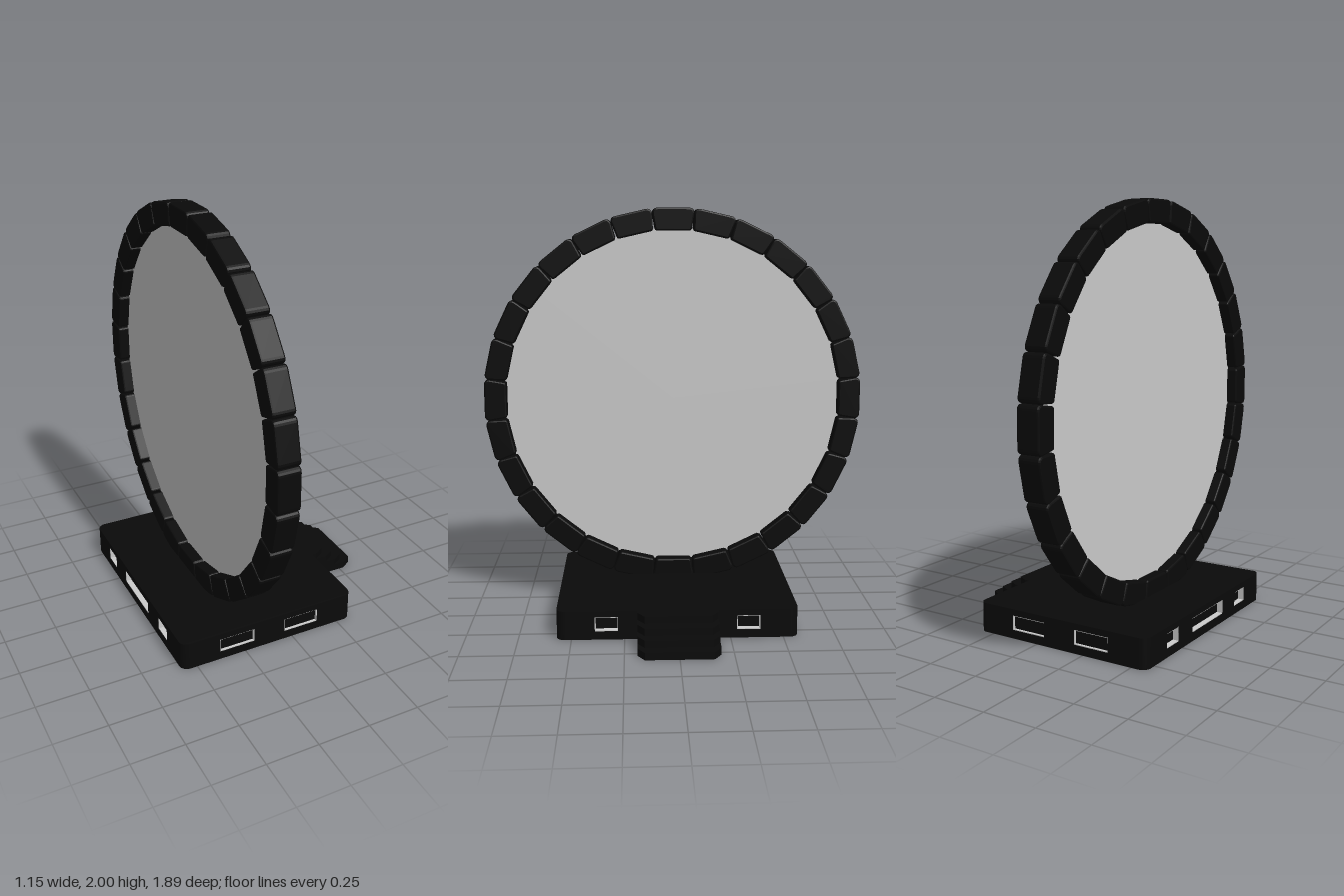
import * as THREE from 'three';

const black = new THREE.MeshStandardMaterial({ color: 0x0a0a0a });
const grey = new THREE.MeshStandardMaterial({ color: 0xcccccc, side: THREE.DoubleSide });

// Base extents in plan, slot heights
const X0 = -0.575, X1 = 0.33, Z = 0.57, R = 0.04, H = 0.14;
const SLOT_Y0 = 0.04, SLOT_Y1 = 0.11;
const RING_X = -0.245, RING_Y = 1.055;

function add(parent, name, geometry, material = black) {
  const mesh = new THREE.Mesh(geometry, material);
  mesh.name = name;
  parent.add(mesh);
  return mesh;
}

// Extrude a plan outline (x, -z) upwards from y0 to y1
function slab(shape, y0, y1) {
  const g = new THREE.ExtrudeGeometry(shape, { depth: y1 - y0, bevelEnabled: false, curveSegments: 6 });
  return g.rotateX(-Math.PI / 2).translate(0, y0, 0);
}

// Recessed slots: side normal, centre along the side, width, depth
const cx = (X0 + X1) / 2;
const slots = { front: [], back: [], left: [], rear: [] };
for (const s of [-1, 1]) {
  slots.front.push({ c: cx + s * 0.17, w: 0.18, d: 0.015 });
  slots.back.push({ c: cx + s * 0.17, w: 0.18, d: 0.015 });
  slots.left.push({ c: s * 0.335, w: 0.11, d: 0.03 });
  slots.rear.push({ c: s * 0.335, w: 0.11, d: 0.03 });
}
slots.rear.push({ c: 0, w: 0.31, d: 0.03 });

// Rounded rectangle outline, optionally notched by the slots
function baseShape(notched) {
  const s = new THREE.Shape();
  const side = (list, dir, point) => {
    if (!notched) return;
    for (const { c, w, d } of [...list].sort((a, b) => dir * (a.c - b.c))) {
      const a = c - dir * w / 2, b = c + dir * w / 2;
      for (const [t, depth] of [[a, 0], [a, d], [b, d], [b, 0]]) s.lineTo(...point(t, depth));
    }
  };
  s.moveTo(X0 + R, -Z);
  side(slots.front, 1, (t, d) => [t, -Z + d]);
  s.lineTo(X1 - R, -Z);
  s.absarc(X1 - R, -Z + R, R, -Math.PI / 2, 0);
  side(slots.left, 1, (t, d) => [X1 - d, t]);
  s.lineTo(X1, Z - R);
  s.absarc(X1 - R, Z - R, R, 0, Math.PI / 2);
  side(slots.back, -1, (t, d) => [t, Z - d]);
  s.lineTo(X0 + R, Z);
  s.absarc(X0 + R, Z - R, R, Math.PI / 2, Math.PI);
  side(slots.rear, -1, (t, d) => [X0 + d, t]);
  s.lineTo(X0, -Z + R);
  s.absarc(X0 + R, -Z + R, R, Math.PI, Math.PI * 1.5);
  return s;
}

// Thin grey frame lining the walls of one slot, opening towards +z
function linerGeometry({ w, d }) {
  const rect = (P, hw, y0, y1) => new P([[-hw, y0], [hw, y0], [hw, y1], [-hw, y1]].map(p => new THREE.Vector2(...p)));
  const t = 0.004;
  const s = rect(THREE.Shape, w / 2, SLOT_Y0, SLOT_Y1);
  s.holes.push(rect(THREE.Path, w / 2 - t, SLOT_Y0 + t, SLOT_Y1 - t));
  return new THREE.ExtrudeGeometry(s, { depth: d - 0.003, bevelEnabled: false }).translate(0, 0, -d);
}

function createBase() {
  const base = new THREE.Group();
  base.name = 'base';
  add(base, 'baseBottom', slab(baseShape(false), 0, SLOT_Y0));
  add(base, 'baseMiddle', slab(baseShape(true), SLOT_Y0, SLOT_Y1));
  add(base, 'baseTop', slab(baseShape(false), SLOT_Y1, H));
  const place = {
    front: c => [c, Z, 0], back: c => [c, -Z, Math.PI],
    left: c => [X1, c, Math.PI / 2], rear: c => [X0, c, -Math.PI / 2],
  };
  for (const key of Object.keys(slots)) {
    for (const slot of slots[key]) {
      const [x, z, turn] = place[key](slot.c);
      const liner = add(base, 'slotLiner', linerGeometry(slot), grey);
      liner.position.set(x, 0, z);
      liner.rotation.y = turn;
    }
  }
  return base;
}

// Stacked steps with clipped front corners
function createSteps() {
  const steps = new THREE.Group();
  steps.name = 'steps';
  const ends = [[0.575, 0, 0.035], [0.52, 0.035, 0.07], [0.465, 0.07, 0.105], [0.405, 0.105, H]];
  for (const [end, y0, y1] of ends) {
    const pts = [[X1 - 0.02, -0.19], [end - 0.05, -0.19], [end, -0.158], [end, 0.158], [end - 0.05, 0.19], [X1 - 0.02, 0.19]];
    add(steps, 'step', slab(new THREE.Shape(pts.map(p => new THREE.Vector2(...p))), y0, y1));
  }
  return steps;
}

// Ring of wedge blocks with rounded corners
function createRing() {
  const ring = new THREE.Group();
  ring.name = 'ring';
  const count = 28, inner = 0.835, outer = 0.945, b = 0.008;
  const k = Math.tan(Math.PI / count), gap = 0.003;
  const hi = inner * k - gap - b, ho = outer * k - gap - b;
  const y0 = inner + b, y1 = outer - b, r = 0.018;
  const s = new THREE.Shape();
  s.moveTo(-hi + 0.006, y0);
  s.lineTo(hi - 0.006, y0);
  s.quadraticCurveTo(hi, y0, hi, y0 + 0.006);
  s.lineTo(ho, y1 - r);
  s.quadraticCurveTo(ho, y1, ho - r, y1);
  s.lineTo(-ho + r, y1);
  s.quadraticCurveTo(-ho, y1, -ho, y1 - r);
  s.lineTo(-hi, y0 + 0.006);
  s.quadraticCurveTo(-hi, y0, -hi + 0.006, y0);
  const block = new THREE.ExtrudeGeometry(s, {
    depth: 0.11 - 2 * b, bevelThickness: b, bevelSize: b, bevelSegments: 2, curveSegments: 4,
  });
  block.translate(0, 0, -(0.11 - 2 * b) / 2).rotateY(Math.PI / 2);
  for (let i = 0; i < count; i++) {
    add(ring, 'ringBlock', block).rotation.x = (i / count) * Math.PI * 2;
  }
  // Flat pane filling the ring
  const pane = new THREE.CircleGeometry(0.85, 56).rotateY(Math.PI / 2);
  add(ring, 'pane', pane, grey);
  ring.position.set(RING_X, RING_Y, 0);
  return ring;
}

export function createModel() {
  const model = new THREE.Group();
  model.name = 'ringGate';
  model.add(createBase(), createSteps(), createRing());
  return model;
}
